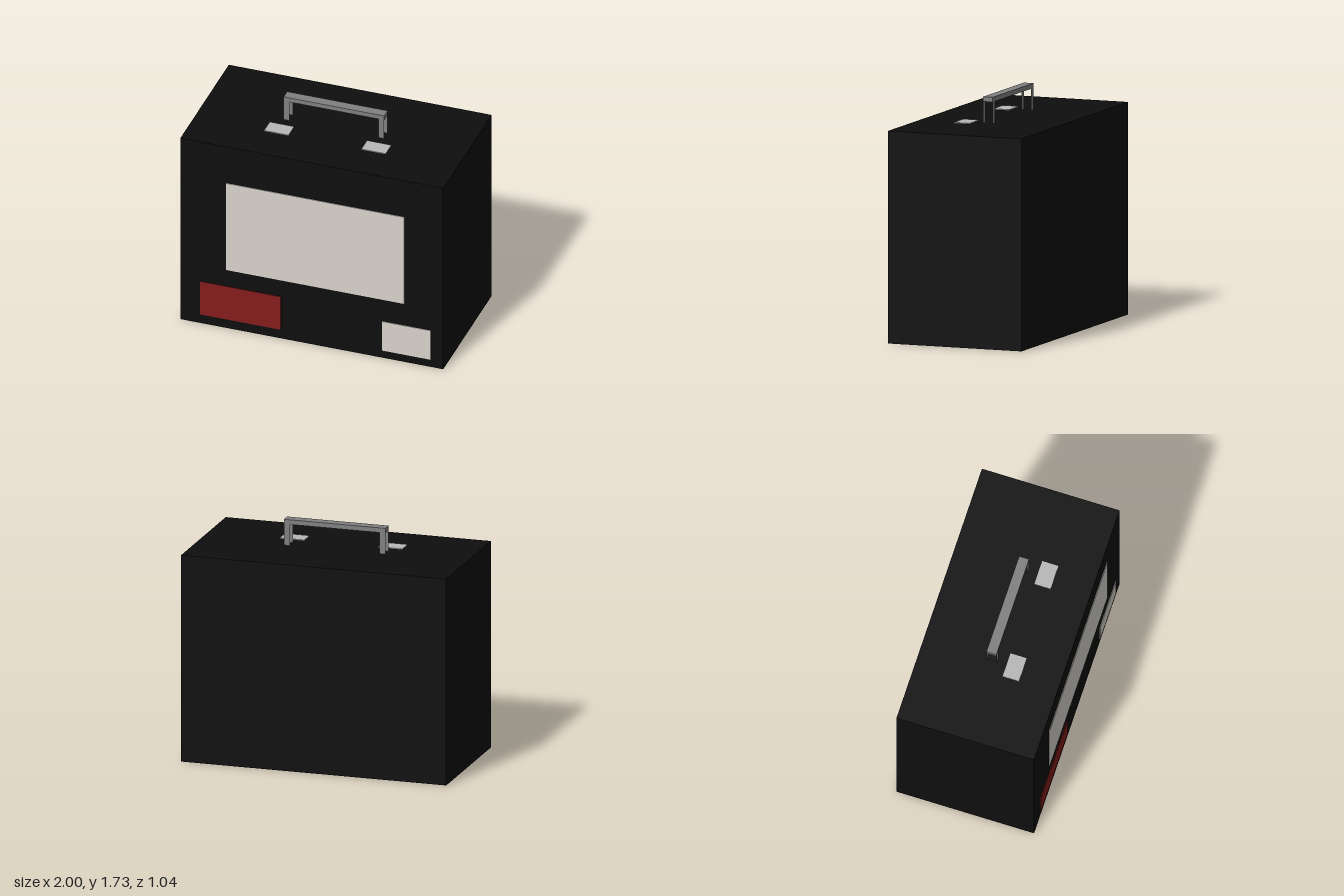
import * as THREE from 'three';

const mat = (color) => new THREE.MeshStandardMaterial({ color, side: THREE.DoubleSide });

export function createModel() {
  const group = new THREE.Group();
  const black = mat(0x0e0e0e), cream = mat(0xd8d4cc), red = mat(0x851c1c);
  const silver = mat(0xb8b8b8), grey = mat(0x808080);

  // Box given by its lower and upper limits on each axis
  const box = (name, material, [x0, x1], [y0, y1], [z0, z1]) => {
    const mesh = new THREE.Mesh(new THREE.BoxGeometry(x1 - x0, y1 - y0, z1 - z0), material);
    mesh.position.set((x0 + x1) / 2, (y0 + y1) / 2, (z0 + z1) / 2);
    mesh.name = name;
    group.add(mesh);
  };

  // Case
  box('body', black, [-1, 1], [0, 1.54], [-0.52, 0.517]);

  // Thin panels on the front
  const front = [0.515, 0.522];
  box('screenPanel', cream, [-0.65, 0.705], [0.495, 1.232], front);
  box('redPanel', red, [-0.85, -0.235], [0.075, 0.355], front);
  box('smallPanel', cream, [0.535, 0.905], [0.063, 0.31], front);

  // Flat pads on the top
  box('rightPad', silver, [-0.465, -0.28], [1.535, 1.546], [0.108, 0.23]);
  box('leftPad', silver, [0.275, 0.46], [1.535, 1.546], [0.108, 0.23]);

  // Carrying handle: a solid bar on paired sheet legs
  box('handleBar', grey, [-0.385, 0.38], [1.697, 1.732], [-0.04, 0.035]);
  for (const x of [-0.363, 0.358]) {
    for (const z of [-0.04, 0.035]) {
      const leg = new THREE.Mesh(new THREE.PlaneGeometry(0.044, 0.157), grey);
      leg.position.set(x, 1.6185, z);
      leg.name = 'handleLeg';
      group.add(leg);
    }
  }
  return group;
}
